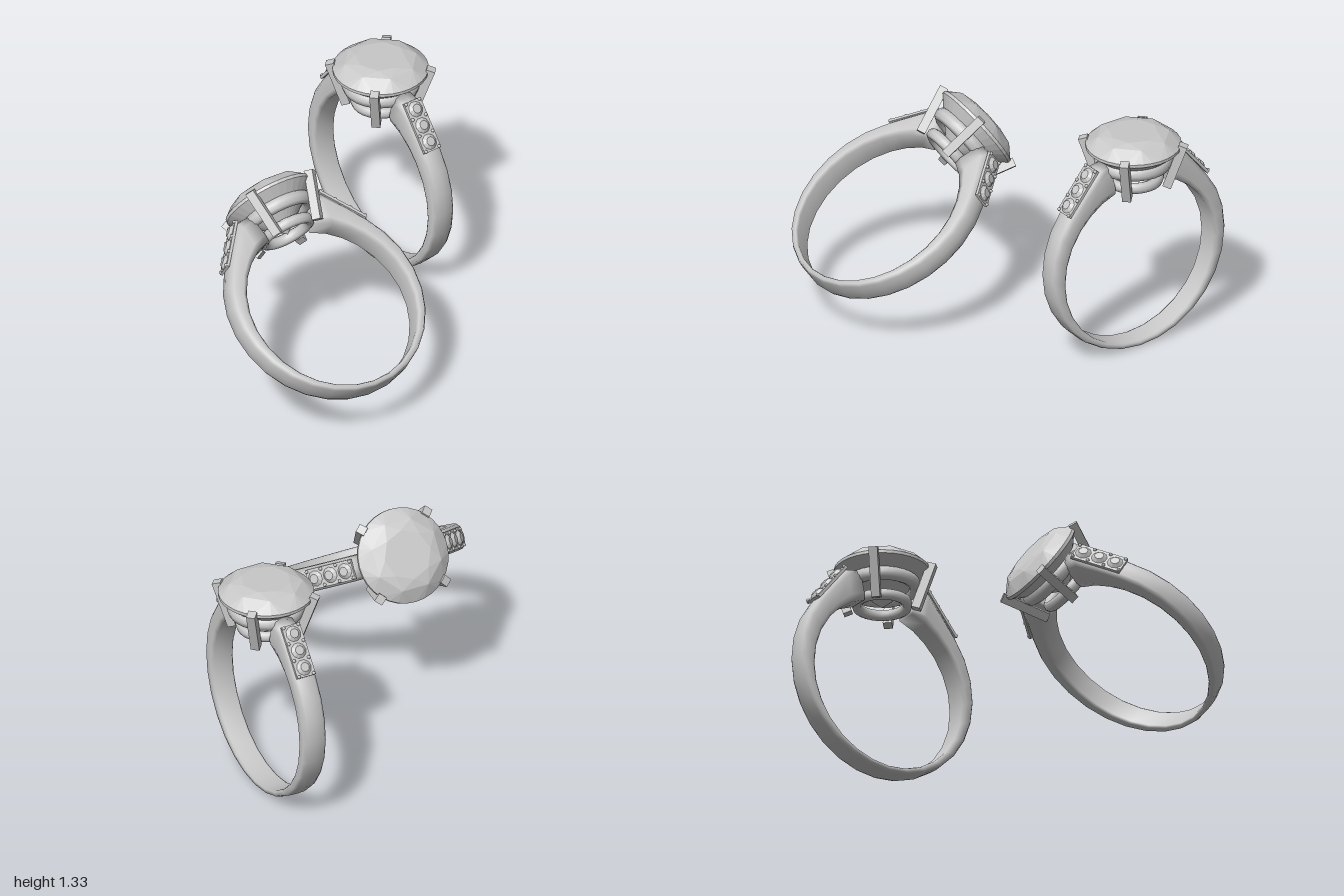
import * as THREE from 'three';
import { ConvexGeometry } from 'three/addons/geometries/ConvexGeometry.js';

const metal = new THREE.MeshStandardMaterial({ color: 0xc8c8c8 });
metal.name = 'silver grey';

function add(parent, name, geometry, x = 0, y = 0, z = 0) {
  const mesh = new THREE.Mesh(geometry, metal);
  mesh.name = name;
  mesh.position.set(x, y, z);
  parent.add(mesh);
  return mesh;
}

function facet(geometry) {
  const flat = geometry.toNonIndexed();
  flat.computeVertexNormals();
  return flat;
}

// Band: a D-shaped section swept between an inner circle and a swelling outer line
function bandGeometry() {
  const half = []; // [outer x, outer y, inner x, inner y], bottom to right shoulder
  for (let i = 0; i <= 10; i++) {
    const a = THREE.MathUtils.degToRad(-90 + i * 12.8);
    half.push([0.585 * Math.cos(a), 0.585 * Math.sin(a), 0.5 * Math.cos(a), -0.05 + 0.5 * Math.sin(a)]);
  }
  half.push([0.372, 0.478, 0.328, 0.327], [0.28, 0.59, 0.25, 0.383], [0.2, 0.605, 0.16, 0.42]);
  const left = half.slice(1).reverse().map(([a, b, c, d]) => [-a, b, -c, d]);
  const stations = [...left, ...half];
  const section = [[0, -0.058], [0, 0.058], [0.2, 0.07], [0.75, 0.07], [0.93, 0.05], [1, 0], [0.93, -0.05], [0.75, -0.07], [0.2, -0.07]];
  const n = section.length, pos = [], index = [];
  stations.forEach(([ox, oy, ix, iy], s) => {
    for (const [f, z] of section) pos.push(ix + (ox - ix) * f, iy + (oy - iy) * f, z);
    if (s === stations.length - 1) return;
    for (let k = 0; k < n; k++) {
      const a = s * n + k, b = s * n + (k + 1) % n;
      index.push(a, b, a + n, b, b + n, a + n);
    }
  });
  const last = (stations.length - 1) * n;
  for (let k = 1; k < n - 1; k++) index.push(0, k + 1, k, last, last + k, last + k + 1);
  const g = new THREE.BufferGeometry();
  g.setAttribute('position', new THREE.Float32BufferAttribute(pos, 3));
  g.setIndex(index);
  g.computeVertexNormals();
  return g;
}

// Large round-cut stone: table, crown, girdle and pointed pavilion
function stoneGeometry() {
  const pts = [new THREE.Vector3(0, 0.435, 0)];
  const circle = (r, y, n, turn) => {
    for (let i = 0; i < n; i++) {
      const a = (i + turn) / n * Math.PI * 2;
      pts.push(new THREE.Vector3(r * Math.cos(a), y, r * Math.sin(a)));
    }
  };
  circle(0.14, 0.74, 8, 0);
  circle(0.205, 0.724, 8, 0.5);
  circle(0.267, 0.668, 32, 0);
  circle(0.267, 0.65, 32, 0);
  return new ConvexGeometry(pts);
}

function createHead() {
  const head = new THREE.Group();
  head.name = 'head';
  add(head, 'centreStone', stoneGeometry());
  // Two rails under the stone
  for (const [name, r, tube, y] of [['upperRail', 0.185, 0.035, 0.565], ['lowerRail', 0.142, 0.028, 0.455]]) {
    const rail = add(head, name, new THREE.TorusGeometry(r, tube, 8, 28), 0, y, 0);
    rail.rotation.x = Math.PI / 2;
    rail.scale.z = 1.2;
  }
  // Four leaning prongs
  for (let i = 0; i < 4; i++) {
    const arm = new THREE.Group();
    arm.name = 'prongArm';
    arm.rotation.y = Math.PI / 4 + i * Math.PI / 2;
    add(arm, 'prong', new THREE.BoxGeometry(0.05, 0.28, 0.05), 0.237, 0.547, 0).rotation.z = -0.337;
    head.add(arm);
  }
  return head;
}

// Shoulder plate with three small stones and corner beads
function createShoulder(side) {
  const shoulder = new THREE.Group();
  shoulder.name = side > 0 ? 'leftShoulder' : 'rightShoulder';
  shoulder.position.set(side * 0.3725, 0.4775, 0);
  shoulder.rotation.z = -side * 0.89;
  add(shoulder, 'shoulderPlate', new THREE.BoxGeometry(0.3, 0.016, 0.115));
  const small = facet(new THREE.CylinderGeometry(0.026, 0.047, 0.018, 10));
  for (const i of [-1, 0, 1]) add(shoulder, 'smallStone', small, i * 0.098, 0.015, 0);
  const bead = new THREE.SphereGeometry(0.011, 6, 4);
  for (const i of [-1.45, -0.5, 0.5, 1.45])
    for (const z of [-0.046, 0.046]) add(shoulder, 'bead', bead, i * 0.098, 0.009, z);
  return shoulder;
}

function createRing(name) {
  const ring = new THREE.Group();
  ring.name = name;
  add(ring, 'band', bandGeometry());
  ring.add(createHead(), createShoulder(1), createShoulder(-1));
  return ring;
}

export function createModel() {
  const model = new THREE.Group();
  model.name = 'ringPair';

  const upright = createRing('uprightRing');
  upright.position.set(-0.415, 0.585, -0.71);

  // Second ring leans back, its head up and to the side
  const leaning = createRing('leaningRing');
  leaning.position.set(0.47, 0.63, 0.38);
  const axis = new THREE.Vector3(0.5446, 0.8387, 0).normalize();
  const up = new THREE.Vector3(-0.8367, 0.5433, -0.07).normalize();
  const across = new THREE.Vector3().crossVectors(up, axis);
  leaning.quaternion.setFromRotationMatrix(new THREE.Matrix4().makeBasis(across, up, axis));

  model.add(upright, leaning);
  return model;
}
